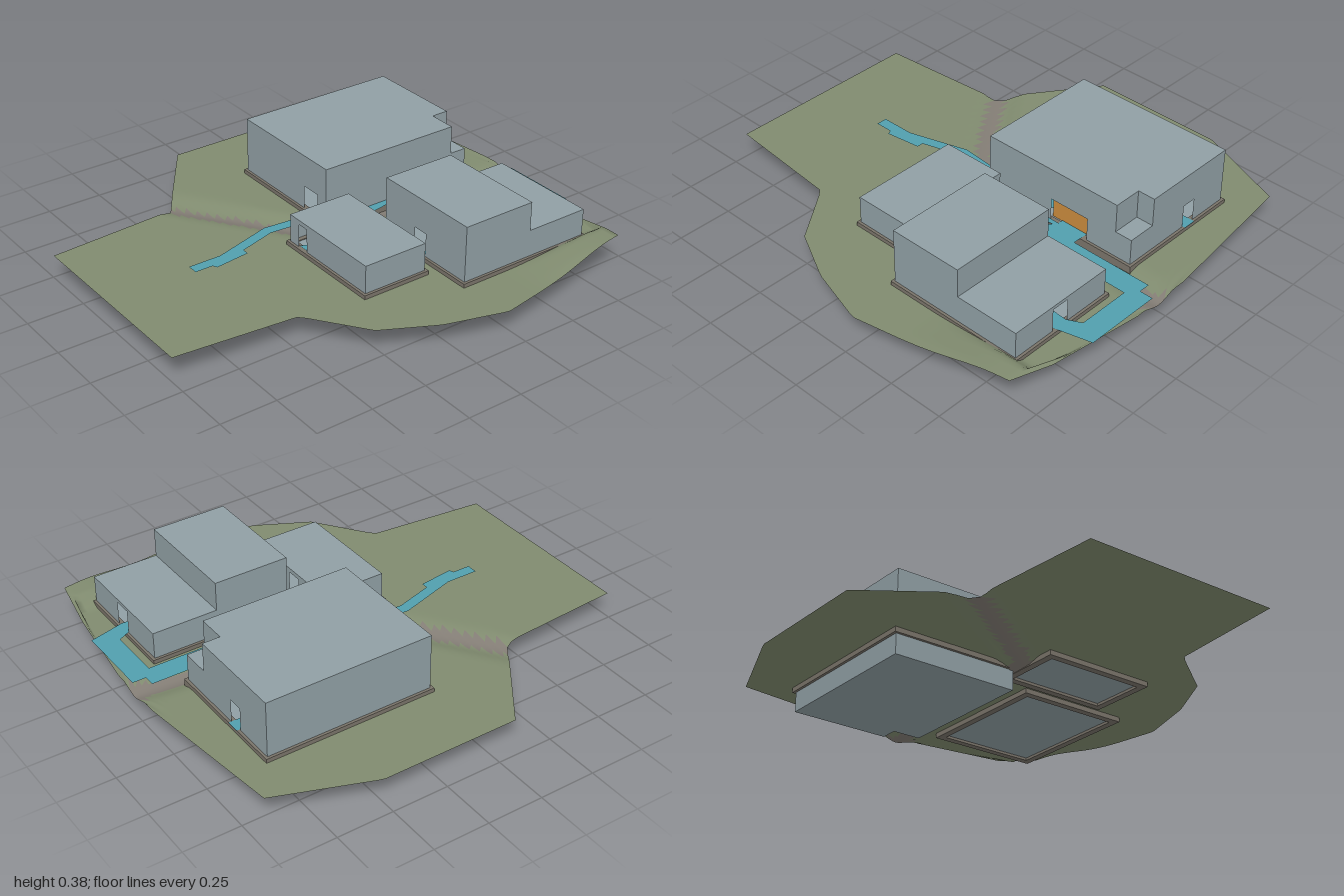
import * as THREE from 'three';

const mat = (name, color, side = THREE.DoubleSide) => {
  const m = new THREE.MeshStandardMaterial({ color, side });
  m.name = name;
  return m;
};

export function createModel() {
  const model = new THREE.Group();
  const grass = mat('grass', 0x808b6f);
  const soil = mat('soil', 0x837d75);
  const stone = mat('wall grey', 0x909fa4);
  const base = mat('plinth brown', 0x7a746a);
  const water = mat('path blue', 0x519fae);
  const wood = mat('wood', 0xc98b3d);

  const add = (parent, name, geo, material) => {
    const m = new THREE.Mesh(geo, material);
    m.name = name;
    parent.add(m);
    return m;
  };
  const group = (name) => {
    const g = new THREE.Group();
    g.name = name;
    model.add(g);
    return g;
  };
  const toShape = (pts) => new THREE.Shape(pts.map(([a, b]) => new THREE.Vector2(a, b)));
  const rect = (a0, a1, b0, b1) => [[a0, b0], [a1, b0], [a1, b1], [a0, b1]];

  // Flat horizontal sheet from [x, z] points
  const sheet = (parent, name, pts, y, material) => {
    const geo = new THREE.ShapeGeometry(toShape(pts.map(([x, z]) => [x, -z])));
    add(parent, name, geo.rotateX(-Math.PI / 2).translate(0, y, 0), material);
  };
  // Upright wall: axis 'z' takes [x, y] points, axis 'x' takes [z, y] points
  const wall = (parent, name, axis, pos, pts, openings = []) => {
    const s = toShape(pts);
    openings.forEach(([a, b]) => s.holes.push(toShape(rect(a, b, 0.13, 0.235))));
    const geo = new THREE.ShapeGeometry(s);
    if (axis === 'x') geo.rotateY(-Math.PI / 2).translate(pos, 0, 0);
    else geo.translate(0, 0, pos);
    add(parent, name, geo, stone);
  };
  // Frame around the foot of a building
  const plinth = (parent, x0, x1, z0, z1) => {
    const s = toShape(rect(x0 - 0.012, x1 + 0.012, -z1 - 0.012, -z0 + 0.012));
    s.holes.push(toShape(rect(x0 + 0.02, x1 - 0.02, -z1 + 0.02, -z0 - 0.02)));
    const geo = new THREE.ExtrudeGeometry(s, { depth: 0.04, bevelEnabled: false });
    add(parent, 'plinth', geo.rotateX(-Math.PI / 2).translate(0, 0.09, 0), base);
  };
  const floorSlab = (parent, x0, x1, z0, z1) => {
    const geo = new THREE.BoxGeometry(x1 - x0, 0.024, z1 - z0);
    add(parent, 'floor', geo.translate((x0 + x1) / 2, 0.114, (z0 + z1) / 2), stone);
  };

  // Terrain: rows spanning between a left and a right boundary
  const leftEdge = [[-1, -0.1], [-0.92, -0.78], [-0.5, -0.94], [0.12, -0.94], [0.42, -0.52], [1, -0.48]];
  const rightEdge = [[-1, 0.18], [-0.92, 0.81], [-0.5, 0.88], [-0.22, 0.93], [0.05, 0.85],
    [0.28, 0.73], [0.46, 0.48], [1, 0.43]];
  const along = (edge, z) => {
    let i = 0;
    while (i < edge.length - 2 && z > edge[i + 1][0]) i++;
    const [[z0, x0], [z1, x1]] = [edge[i], edge[i + 1]];
    return x0 + (x1 - x0) * (z - z0) / (z1 - z0);
  };
  // Distance to the dry bed that crosses the site
  const bed = [[-0.56, 0.39], [-0.03, 0.02], [0.05, -1]];
  const bedDistance = (x, z) => Math.min(...[0, 1].map((i) => {
    const [[ax, az], [bx, bz]] = [bed[i], bed[i + 1]];
    const dx = bx - ax, dz = bz - az;
    const t = THREE.MathUtils.clamp(((x - ax) * dx + (z - az) * dz) / (dx * dx + dz * dz), 0, 1);
    return Math.hypot(x - ax - t * dx, z - az - t * dz);
  }));
  const smooth = THREE.MathUtils.smoothstep;
  const height = (x, z) => {
    const hill = smooth(x, 0.66, 0.73) * (1 - smooth(x, 0.82, 0.94))
      * smooth(-z, 0.4, 0.86) * (1 - smooth(-z, 0.92, 1.0));
    return 0.112 + 0.045 * hill - 0.025 * (1 - smooth(bedDistance(x, z), 0, 0.1));
  };
  const rows = 75, cols = 70, pos = [], green = [], brown = [];
  for (let r = 0; r <= rows; r++) {
    const z = -1 + 2 * r / rows, x0 = along(leftEdge, z), x1 = along(rightEdge, z);
    for (let c = 0; c <= cols; c++) {
      const x = x0 + (x1 - x0) * c / cols;
      pos.push(x, height(x, z), z);
      if (r === rows || c === cols) continue;
      const a = r * (cols + 1) + c, b = a + cols + 1;
      (bedDistance(x, z) < 0.035 ? brown : green).push(a, b, a + 1, a + 1, b, b + 1);
    }
  }
  const ground = new THREE.BufferGeometry();
  ground.setAttribute('position', new THREE.Float32BufferAttribute(pos, 3));
  ground.setIndex([...green, ...brown]);
  ground.addGroup(0, green.length, 0);
  ground.addGroup(green.length, brown.length, 1);
  ground.computeVertexNormals();
  add(model, 'terrain', ground, [grass, soil]);

  // Main hall: deep foundation and a lower block in its back corner
  const hall = group('mainHall');
  wall(hall, 'frontWall', 'z', -0.04, rect(-0.605, -0.02, 0, 0.38), [[-0.175, -0.08]]);
  wall(hall, 'backWall', 'z', -0.795, rect(-0.605, -0.15, 0, 0.38), [[-0.415, -0.35]]);
  wall(hall, 'rightWall', 'x', -0.605, rect(-0.795, -0.04, 0, 0.38));
  wall(hall, 'leftWall', 'x', -0.02, rect(-0.715, -0.04, 0, 0.38), [[-0.57, -0.38]]);
  wall(hall, 'notchSide', 'x', -0.15, rect(-0.795, -0.715, 0, 0.38));
  wall(hall, 'notchBack', 'z', -0.715, rect(-0.15, -0.02, 0, 0.38));
  wall(hall, 'lowBlockSide', 'x', -0.02, rect(-0.795, -0.715, 0.1, 0.25));
  wall(hall, 'lowBlockBack', 'z', -0.795, rect(-0.15, -0.02, 0.1, 0.25));
  sheet(hall, 'lowBlockRoof', rect(-0.15, -0.02, -0.795, -0.715), 0.25, stone);
  const hallPlan = [[-0.605, -0.795], [-0.15, -0.795], [-0.15, -0.715], [-0.02, -0.715], [-0.02, -0.04], [-0.605, -0.04]];
  sheet(hall, 'roof', hallPlan, 0.38, stone);
  sheet(hall, 'foundation', hallPlan, 0, stone);
  floorSlab(hall, -0.6, -0.025, -0.79, -0.045);
  plinth(hall, -0.605, -0.02, -0.795, -0.04);
  add(hall, 'woodenPartition', new THREE.BoxGeometry(0.07, 0.1, 0.2).translate(-0.08, 0.18, -0.47), wood);

  // Stepped house: tall front half, low back half
  const house = group('steppedHouse');
  const step = [[-0.835, 0.1], [-0.2, 0.1], [-0.2, 0.38], [-0.54, 0.38], [-0.54, 0.25], [-0.835, 0.25]];
  wall(house, 'rightWall', 'x', 0.18, step);
  wall(house, 'leftWall', 'x', 0.685, step);
  wall(house, 'frontWall', 'z', -0.2, rect(0.18, 0.685, 0.1, 0.38), [[0.37, 0.44]]);
  wall(house, 'backWall', 'z', -0.835, rect(0.18, 0.685, 0.1, 0.25), [[0.4, 0.48]]);
  wall(house, 'upperBackWall', 'z', -0.54, rect(0.18, 0.685, 0.25, 0.38));
  sheet(house, 'highRoof', rect(0.18, 0.685, -0.54, -0.2), 0.38, stone);
  sheet(house, 'lowRoof', rect(0.18, 0.685, -0.835, -0.54), 0.25, stone);
  floorSlab(house, 0.185, 0.68, -0.83, -0.205);
  plinth(house, 0.18, 0.685, -0.835, -0.2);

  // Small front lodge
  const lodge = group('smallLodge');
  wall(lodge, 'frontWall', 'z', 0.168, rect(0.015, 0.522, 0.1, 0.255), [[0.075, 0.13]]);
  wall(lodge, 'backWall', 'z', -0.13, rect(0.015, 0.522, 0.1, 0.255), [[0.2, 0.27]]);
  wall(lodge, 'rightWall', 'x', 0.015, rect(-0.13, 0.168, 0.1, 0.255));
  wall(lodge, 'leftWall', 'x', 0.522, rect(-0.13, 0.168, 0.1, 0.255));
  sheet(lodge, 'roof', rect(0.015, 0.522, -0.13, 0.168), 0.255, stone);
  floorSlab(lodge, 0.02, 0.517, -0.125, 0.163);
  plinth(lodge, 0.015, 0.522, -0.13, 0.168);

  // Blue paths linking the buildings, inside and out
  const paths = group('bluePaths');
  sheet(paths, 'courtPath', [[0.08, -0.99], [0.43, -0.99], [0.47, -0.83], [0.4, -0.83], [0.37, -0.89],
    [0.13, -0.89], [0.13, -0.51], [0.08, -0.49], [0.18, -0.43], [0.18, -0.29], [0.12, -0.34],
    [0.28, -0.13], [0.21, -0.13], [0, -0.41], [0.05, -0.13], [0.01, -0.13], [-0.02, -0.22],
    [-0.02, -0.55], [0.03, -0.55], [0.03, -0.93], [0.08, -0.93]], 0.134, water);
  sheet(paths, 'frontPath', [[-0.11, -0.04], [-0.13, 0.2], [-0.05, 0.47], [-0.05, 0.62], [0, 0.62],
    [0, 0.54], [0.02, 0.53], [0, 0.37], [-0.03, 0.37], [-0.08, 0.2], [-0.06, -0.04]], 0.134, water);
  sheet(paths, 'hallPath', [[-0.41, -0.81], [-0.35, -0.81], [-0.35, -0.55], [-0.02, -0.55], [-0.02, -0.42],
    [-0.08, -0.42], [-0.08, -0.04], [-0.14, -0.04], [-0.14, -0.42], [-0.41, -0.42]], 0.133, water);
  sheet(paths, 'housePath', [[0.4, -0.83], [0.47, -0.83], [0.43, -0.2], [0.41, -0.175], [0.36, -0.2]], 0.134, water);
  sheet(paths, 'lodgePath', [[0.21, -0.13], [0.28, -0.13], [0.13, 0.165], [0.075, 0.165]], 0.134, water);

  return model;
}
